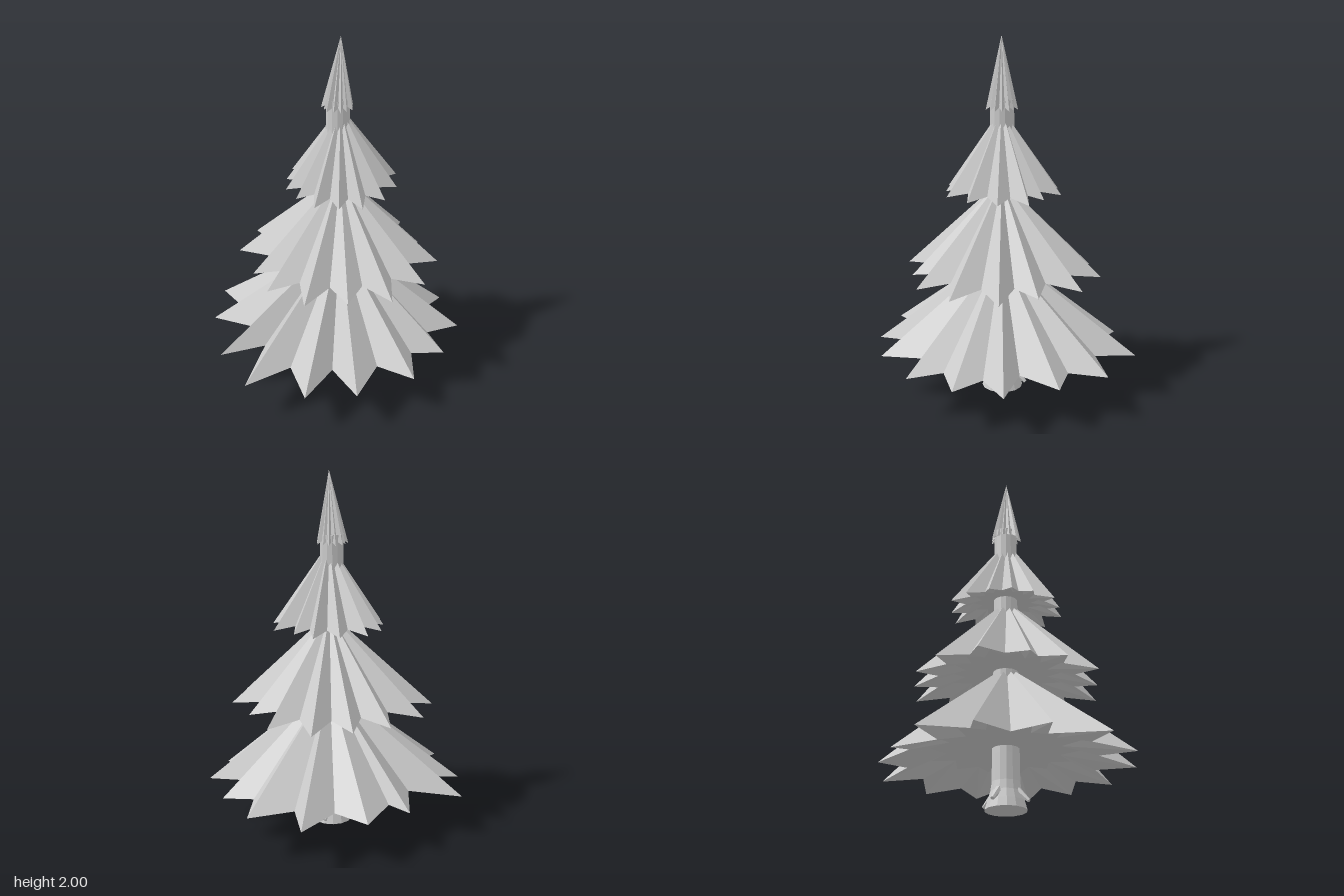
import * as THREE from 'three';

const AXIS_X = 0.065, AXIS_Z = -0.01;
const grey = new THREE.MeshStandardMaterial({ color: 0xcccccc });
grey.name = 'lightGrey';

function faceted(geometry) {
  const g = geometry.index ? geometry.toNonIndexed() : geometry;
  g.computeVertexNormals();
  return g;
}

function addMesh(parent, name, geometry) {
  const mesh = new THREE.Mesh(faceted(geometry), grey);
  mesh.name = name;
  parent.add(mesh);
  return mesh;
}

// Star-shaped cone, hollowed below up to a flat ceiling.
// Tips run round the axis from +x to +z as [x, z]; tilt leans the tips towards the front.
function tierGeometry({ tips, notches, tipY, tilt, notchY, capY, apexY }) {
  const rim = [];
  tips.forEach(([x, z], i) => {
    const [nx, nz] = tips[(i + 1) % tips.length];
    rim.push([x, tipY - tilt * z, z]);
    const notch = notches ? notches[i] : [
      AXIS_X + ((x + nx) / 2 - AXIS_X) * 0.75,
      AXIS_Z + ((z + nz) / 2 - AXIS_Z) * 0.75,
    ];
    rim.push([notch[0], notchY, notch[1]]);
  });
  const apex = [AXIS_X, apexY, AXIS_Z], cap = [AXIS_X, capY, AXIS_Z];
  const inner = rim.map(([x, , z]) =>
    [AXIS_X + (x - AXIS_X) * 0.6, capY, AXIS_Z + (z - AXIS_Z) * 0.6]);
  const positions = [];
  rim.forEach((p, i) => {
    const j = (i + 1) % rim.length;
    const q = rim[j], pi = inner[i], qi = inner[j];
    positions.push(...apex, ...q, ...p);
    positions.push(...pi, ...p, ...q, ...pi, ...q, ...qi);
    positions.push(...cap, ...pi, ...qi);
  });
  const g = new THREE.BufferGeometry();
  g.setAttribute('position', new THREE.Float32BufferAttribute(positions, 3));
  return g;
}

// Small regular star for the crown, slightly off the axis
function starTips(count, radius) {
  return Array.from({ length: count }, (_, i) => {
    const a = (i / count) * Math.PI * 2;
    const r = radius * (i % 2 ? 0.93 : 1.03);
    return [0.051 + r * Math.cos(a), -0.005 + r * Math.sin(a)];
  });
}

const TIERS = [
  {
    name: 'lowerBranches', tipY: 0.245, tilt: 0.014, notchY: 0.268, capY: 0.335, apexY: 0.82,
    tips: [[0.717, -0.028], [0.673, 0.27], [0.466, 0.545], [0.23, 0.69], [-0.108, 0.75],
      [-0.375, 0.578], [-0.61, 0.287], [-0.717, 0.016], [-0.526, -0.307], [-0.375, -0.53],
      [-0.096, -0.75], [0.235, -0.71], [0.478, -0.53], [0.685, -0.307]],
    notches: [[0.574, 0.095], [0.46, 0.295], [0.26, 0.44], [0.05, 0.53], [-0.18, 0.42],
      [-0.315, 0.29], [-0.47, 0.16], [-0.435, -0.075], [-0.4, -0.29], [-0.175, -0.5],
      [0.03, -0.56], [0.3, -0.506], [0.435, -0.285], [0.57, -0.135]],
  },
  {
    name: 'middleBranches', tipY: 0.696, tilt: 0, notchY: 0.727, capY: 0.775, apexY: 1.22,
    tips: [[0.612, 0.035], [0.53, 0.275], [0.335, 0.406], [0.143, 0.534], [-0.104, 0.5],
      [-0.267, 0.382], [-0.47, 0.2], [-0.505, -0.045], [-0.4, -0.267], [-0.243, -0.414],
      [-0.064, -0.548], [0.195, -0.54], [0.387, -0.37], [0.57, -0.227]],
  },
  {
    name: 'upperBranches', tipY: 1.157, tilt: 0, notchY: 1.18, capY: 1.215, apexY: 1.61,
    tips: [[0.366, 0.05], [0.31, 0.2], [0.2, 0.26], [0.08, 0.306], [-0.056, 0.26],
      [-0.16, 0.19], [-0.22, 0.08], [-0.258, -0.048], [-0.23, -0.175], [-0.108, -0.27],
      [0.016, -0.34], [0.147, -0.295], [0.28, -0.267], [0.355, -0.12]],
  },
  {
    name: 'crown', tipY: 1.605, tilt: 0, notchY: 1.625, capY: 1.64, apexY: 2,
    tips: starTips(14, 0.086),
  },
];

export function createModel() {
  const tree = new THREE.Group();
  tree.name = 'firTree';

  // Trunk with flared foot
  const profile = [[0, 0], [0.114, 0], [0.1, 0.05], [0.084, 0.1], [0.077, 0.15],
    [0.075, 0.3], [0.069, 0.9], [0.065, 1.5], [0.064, 1.66], [0, 1.66]]
    .map(([r, y]) => new THREE.Vector2(r, y));
  const trunk = addMesh(tree, 'trunk', new THREE.LatheGeometry(profile, 14));
  trunk.position.set(AXIS_X - 0.014, 0, AXIS_Z + 0.003);

  // Root spurs curling out of the foot
  const roots = new THREE.Group();
  roots.name = 'roots';
  const from = new THREE.Vector3(0.07, 0.1, 0), to = new THREE.Vector3(0.138, 0.034, 0);
  const along = to.clone().sub(from);
  for (let i = 0; i < 4; i++) {
    const arm = new THREE.Group();
    arm.name = 'rootArm';
    const spur = addMesh(arm, 'root', new THREE.CylinderGeometry(0.01, 0.02, along.length(), 6));
    spur.position.copy(from).addScaledVector(along, 0.5);
    spur.quaternion.setFromUnitVectors(new THREE.Vector3(0, 1, 0), along.clone().normalize());
    arm.rotation.y = (i * Math.PI) / 2 + 0.1;
    roots.add(arm);
  }
  roots.position.copy(trunk.position);
  tree.add(roots);

  // Four tiers of branches
  for (const tier of TIERS) addMesh(tree, tier.name, tierGeometry(tier));

  return tree;
}
